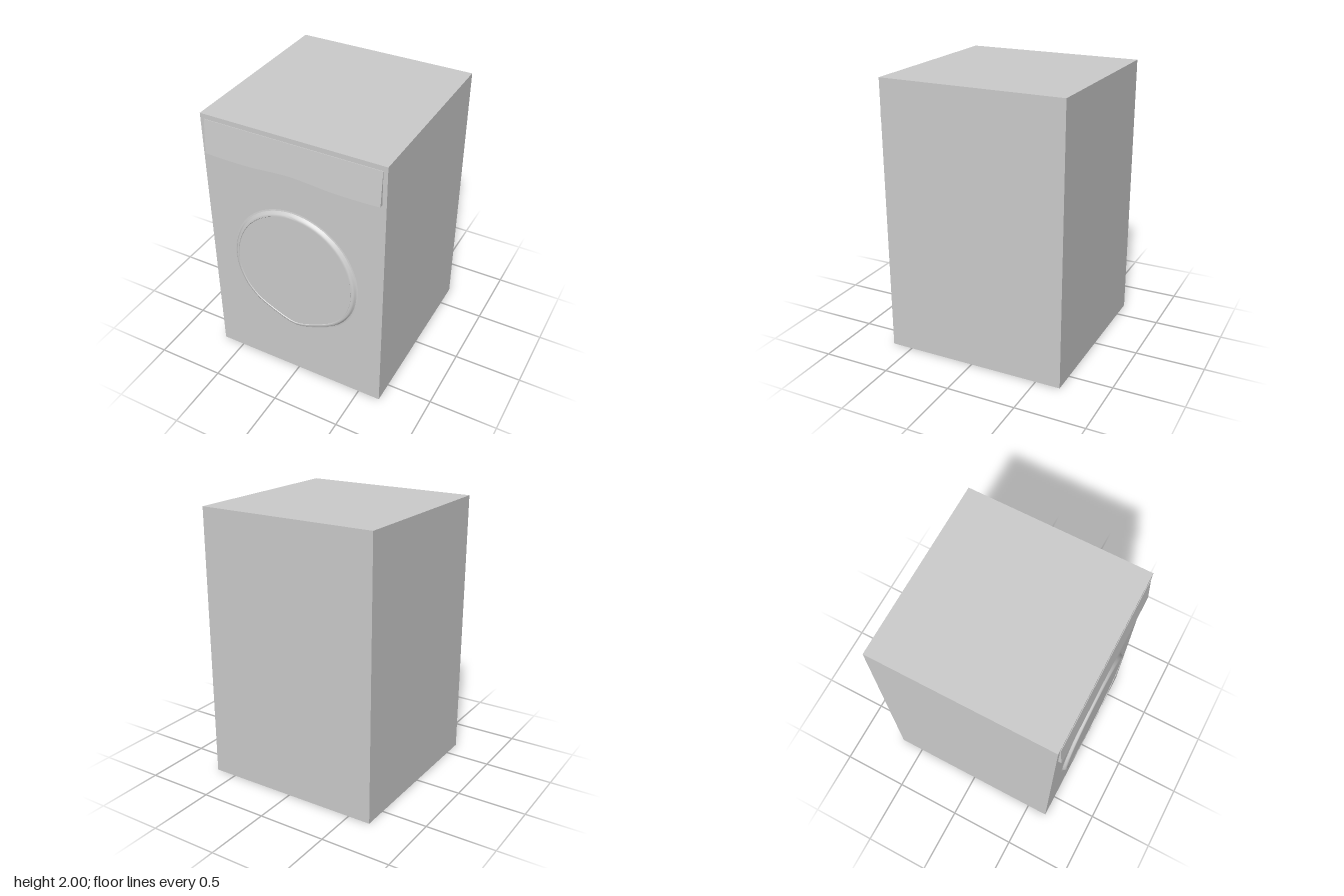
import * as THREE from 'three';
import { toCreasedNormals } from 'three/addons/utils/BufferGeometryUtils.js';

const FRONT = 0.655;
const material = new THREE.MeshStandardMaterial({ color: 0xcccccc });

function part(name, geometry, x = 0, y = 0, z = 0) {
  const mesh = new THREE.Mesh(geometry, material);
  mesh.name = name;
  mesh.position.set(x, y, z);
  return mesh;
}

// Wedge that is thickest along its wavy lower edge
function panelGeometry() {
  const top = 1.965, bottom = 1.715;
  const shape = new THREE.Shape();
  shape.moveTo(-0.635, top);
  shape.lineTo(-0.635, 1.72);
  shape.splineThru([
    [-0.5, 1.715], [-0.3, 1.716], [-0.15, 1.727], [0, 1.735],
    [0.15, 1.727], [0.3, 1.716], [0.5, 1.715], [0.635, 1.72],
  ].map(([x, y]) => new THREE.Vector2(x, y)));
  shape.lineTo(0.635, top);
  const geometry = new THREE.ExtrudeGeometry(shape, { depth: 1, bevelEnabled: false, curveSegments: 32 });
  const p = geometry.attributes.position;
  for (let i = 0; i < p.count; i++) {
    const t = (p.getY(i) - bottom) / (top - bottom);
    p.setZ(i, p.getZ(i) * THREE.MathUtils.lerp(0.025, 0.004, t));
  }
  geometry.computeVertexNormals();
  return geometry;
}

// Turned disc with a rounded rim, reshaped to a softly pointed outline
function doorGeometry() {
  const profile = [
    [1.03, 0], [1.008, 0.002], [0.998, 0.007], [0.99, 0.015], [0.977, 0.022],
    [0.96, 0.025], [0.943, 0.025], [0.937, 0.021], [0, 0.021],
  ].map(([r, z]) => new THREE.Vector2(r, z));
  // Radii from the lowest point up to the highest, the same on both sides
  const radii = [0.49, 0.466, 0.475, 0.475, 0.47, 0.47, 0.478, 0.486, 0.49];
  const outline = new THREE.SplineCurve(radii.map((r, i) => new THREE.Vector2(i / 8, r)));
  const geometry = new THREE.LatheGeometry(profile, 64).rotateX(Math.PI / 2);
  const p = geometry.attributes.position;
  for (let i = 0; i < p.count; i++) {
    const x = p.getX(i), y = p.getY(i);
    const t = Math.atan2(y, Math.abs(x)) / Math.PI + 0.5;
    const r = outline.getPoint(THREE.MathUtils.clamp(t, 0, 1)).y;
    p.setXY(i, x * r, y * r);
  }
  return toCreasedNormals(geometry, 0.6);
}

export function createModel() {
  const group = new THREE.Group();
  group.name = 'washingMachine';
  group.add(
    part('cabinet', new THREE.BoxGeometry(1.33, 2, 1.335), 0, 1, -0.0125),
    part('controlPanel', panelGeometry(), 0, 0, FRONT),
    part('door', doorGeometry(), 0, 0.94, FRONT),
  );
  return group;
}
